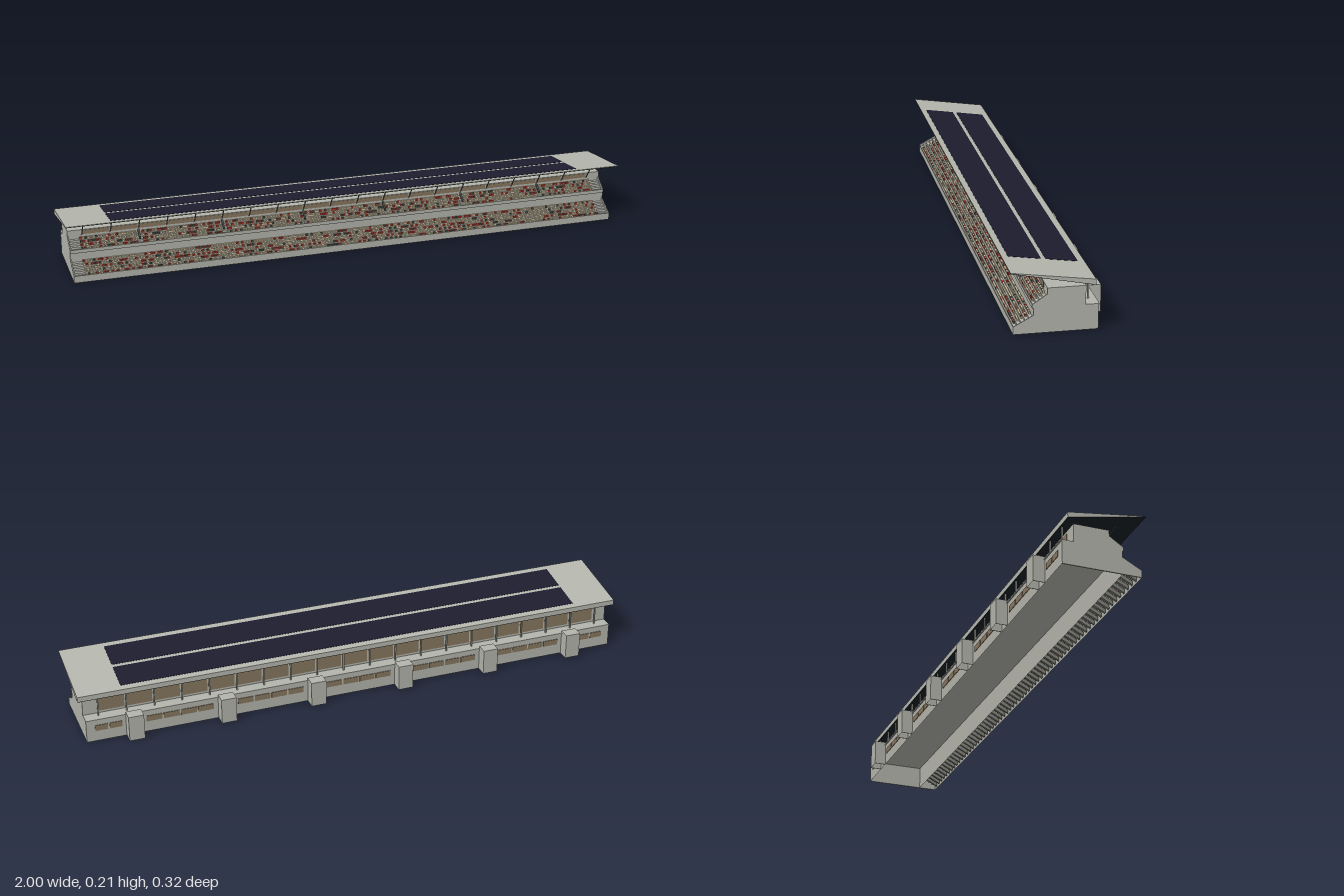
import * as THREE from 'three';
import { mergeGeometries } from 'three/addons/utils/BufferGeometryUtils.js';

const mat = (name, color, side = THREE.FrontSide) => {
  const m = new THREE.MeshStandardMaterial({ color, side });
  m.name = name;
  return m;
};

// Box given by its limits
function box(x0, x1, y0, y1, z0, z1) {
  const g = new THREE.BoxGeometry(x1 - x0, y1 - y0, z1 - z0);
  return g.translate((x0 + x1) / 2, (y0 + y1) / 2, (z0 + z1) / 2);
}

// Solid with a constant [z, y] section, running along x
function prism(section, x0, x1) {
  const shape = new THREE.Shape(section.map(([z, y]) => new THREE.Vector2(-z, y)));
  const g = new THREE.ExtrudeGeometry(shape, { depth: x1 - x0, bevelEnabled: false });
  return g.rotateY(Math.PI / 2).translate(x0, 0, 0);
}

// Open sheet following a [z, y] line, running along x
function sheet(line, x0, x1) {
  const parts = [];
  for (let i = 0; i + 1 < line.length; i++) {
    const [za, ya] = line[i], [zb, yb] = line[i + 1];
    const g = new THREE.BufferGeometry();
    g.setAttribute('position', new THREE.Float32BufferAttribute(
      [x0, ya, za, x1, ya, za, x1, yb, zb, x0, yb, zb], 3));
    g.setIndex([0, 1, 2, 0, 2, 3]);
    g.computeVertexNormals();
    parts.push(g);
  }
  return mergeGeometries(parts);
}

// Stair line: each tread runs back, then a riser goes up
function stairs([z0, y0], [z1, y1], n) {
  const pts = [[z0, y0]];
  for (let i = 1; i <= n; i++) {
    const z = z0 + (z1 - z0) * i / n;
    pts.push([z, y0 + (y1 - y0) * (i - 1) / n], [z, y0 + (y1 - y0) * i / n]);
  }
  return pts;
}

export function createModel() {
  const group = new THREE.Group();
  const concrete = mat('concrete', 0xb3b4ab, THREE.DoubleSide);
  const roofGrey = mat('roof grey', 0xb6b7ae);
  const black = mat('underside black', 0x1b2024);
  const navy = mat('panel navy', 0x1d1d2f);
  const steel = mat('steel', 0x85867f);
  const glass = mat('bronze glass', 0x87765e);
  const sand = mat('sand seat', 0xcbbd9c);
  const red = mat('red seat', 0xb03a2c);
  const dark = mat('dark seat', 0x4a4f48);

  const add = (name, geo, material) => {
    const m = new THREE.Mesh(geo, material);
    m.name = name;
    group.add(m);
  };

  const L = 0.98;
  const lowA = [0.15, 0.025], lowB = [0.085, 0.06];
  const upA = [0.09, 0.095], upB = [0.042, 0.127];
  // The stepped terraces lie just below the sloping ends of the side walls
  const stepLowA = [0.147, 0.021], stepLowB = [0.085, 0.055];
  const stepUpA = [0.087, 0.091], stepUpB = [0.042, 0.122];

  // Hollow shell: lower tier, fascia, upper tier, block and rear ledge
  const shell = [[0.15, 0], lowA, [0.147, 0.025], ...stairs(stepLowA, stepLowB, 5),
    [0.085, 0.082], [0.09, 0.082], [0.09, 0.095], [0.087, 0.095], ...stairs(stepUpA, stepUpB, 4),
    [0.042, 0.147], [-0.08, 0.147], [-0.08, 0.083], [-0.12, 0.083], [-0.12, 0]];
  add('standShell', sheet(shell, -L, L), concrete);
  add('innerWallAndCeiling', sheet([[0.085, 0], [0.085, 0.082], [-0.12, 0.082]], -L, L), concrete);

  // End walls
  const endSection = [[0.15, 0], lowA, lowB, [0.085, 0.082], [0.09, 0.082], upA,
    upB, [0.042, 0.147], [-0.08, 0.147], [-0.08, 0.083], [-0.12, 0.083], [-0.12, 0]];
  for (const s of [-1, 1])
    add('endWall', prism(endSection, s < 0 ? -L : L - 0.004, s < 0 ? -L + 0.004 : L), concrete);
  add('rearLedge', box(-L, L, 0.08, 0.084, -0.123, -0.08), concrete);

  // Raking beams beneath the lower tier
  const rakers = [];
  for (let i = 0; i < 64; i++) {
    const x = -0.945 + i * 0.03;
    rakers.push(prism([[0.146, 0.003], [0.146, 0.016], [0.088, 0.046], [0.088, 0.031]], x - 0.004, x + 0.004));
  }
  add('rakers', mergeGeometries(rakers), steel);

  // Narrow aisles up the upper tier
  const aisles = [-0.735, -0.44, -0.147, 0.147, 0.44, 0.735];
  add('aisles', mergeGeometries(aisles.map(x =>
    prism([[0.07, 0.1], [0.07, 0.108], [0.043, 0.126], [0.043, 0.115]], x - 0.003, x + 0.003))), dark);

  // Rows of seats in mixed colours
  let seed = 7;
  const rand = () => (seed = (seed * 16807) % 2147483647) / 2147483647;
  const seats = [[], [], []];
  const perRow = 210, pitch = 1.88 / perRow;
  function fillTier(a, b, rows, gaps) {
    const dz = (a[0] - b[0]) / rows, dy = (b[1] - a[1]) / rows;
    for (let r = 0; r < rows; r++) {
      const z = a[0] - dz * (r + 1), y = a[1] + dy * r;
      for (let i = 0; i < perRow; i++) {
        const x = -0.94 + (i + 0.5) * pitch, k = rand();
        if (gaps.some(p => Math.abs(p - x) < 0.007)) continue;
        const seat = box(x - 0.0038, x + 0.0038, y, y + dy * 0.95, z + dz * 0.1, z + dz * 0.6);
        seats[k < 0.68 ? 0 : k < 0.88 ? 1 : 2].push(seat);
      }
    }
  }
  fillTier(stepLowA, stepLowB, 5, []);
  fillTier(stepUpA, stepUpB, 4, aisles);
  [['sandSeats', sand], ['redSeats', red], ['darkSeats', dark]].forEach(([name, m], i) =>
    add(name, mergeGeometries(seats[i]), m));

  // Wedge roof, black soffit and two strips of panels
  add('roof', prism([[0.162, 0.211], [0.162, 0.209], [-0.107, 0.155], [-0.107, 0.173]], -1, 1), roofGrey);
  add('soffit', prism([[0.162, 0.21], [0.162, 0.208], [-0.107, 0.154], [-0.107, 0.155]], -1, 1), black);
  const roofY = z => 0.173 + (z + 0.107) * 0.038 / 0.269;
  for (const [za, zb] of [[-0.084, 0.02], [0.034, 0.14]])
    add('solarPanels', prism([[zb, roofY(zb) + 0.0008], [zb, roofY(zb)], [za, roofY(za)],
      [za, roofY(za) + 0.0008]], -0.845, 0.845), navy);

  // Rear posts, front struts and glazing between them
  const posts = [], struts = [], rearGlass = [], frontGlass = [];
  for (let i = 0; i < 20; i++) {
    const x = -0.93 + i * 1.86 / 19;
    posts.push(box(x - 0.002, x + 0.002, 0.083, 0.158, -0.1, -0.095));
    struts.push(prism([[0.09, 0.195], [0.088, 0.195], [0.042, 0.128], [0.044, 0.128]], x - 0.002, x + 0.002));
    if (i === 19) continue;
    const x0 = x + 0.003, x1 = x + 1.86 / 19 - 0.003;
    rearGlass.push(box(x0, x1, 0.092, 0.14, -0.081, -0.08));
    frontGlass.push(box(x0, x1, 0.13, 0.145, 0.042, 0.043));
  }
  add('rearPosts', mergeGeometries(posts), concrete);
  add('roofStruts', mergeGeometries(struts), steel);
  add('rearGlazing', mergeGeometries(rearGlass), glass);
  add('frontGlazing', mergeGeometries(frontGlass), glass);

  // Hollow stair towers on the back, with strips of windows between them
  const towers = [-0.815, -0.489, -0.163, 0.163, 0.489, 0.815], windows = [];
  for (const x of towers) {
    add('stairTower', sheet([[-0.161, 0], [-0.161, 0.092], [-0.12, 0.092], [-0.12, 0.083]],
      x - 0.027, x + 0.027), concrete);
    for (const s of [-1, 1])
      add('stairTowerSide', box(x + s * 0.026 - 0.001, x + s * 0.026 + 0.001, 0, 0.092, -0.161, -0.12), concrete);
  }
  for (let i = 0; i < 5; i++)
    for (let k = 0; k < 4; k++) {
      const x = towers[i] + 0.043 + k * 0.061;
      windows.push(box(x, x + 0.056, 0.04, 0.061, -0.122, -0.12));
    }
  for (const s of [-1, 1])
    for (const x of [0.877, 0.927]) windows.push(box(s * x - 0.022, s * x + 0.022, 0.04, 0.061, -0.122, -0.12));
  add('rearWindows', mergeGeometries(windows), glass);

  return group;
}
